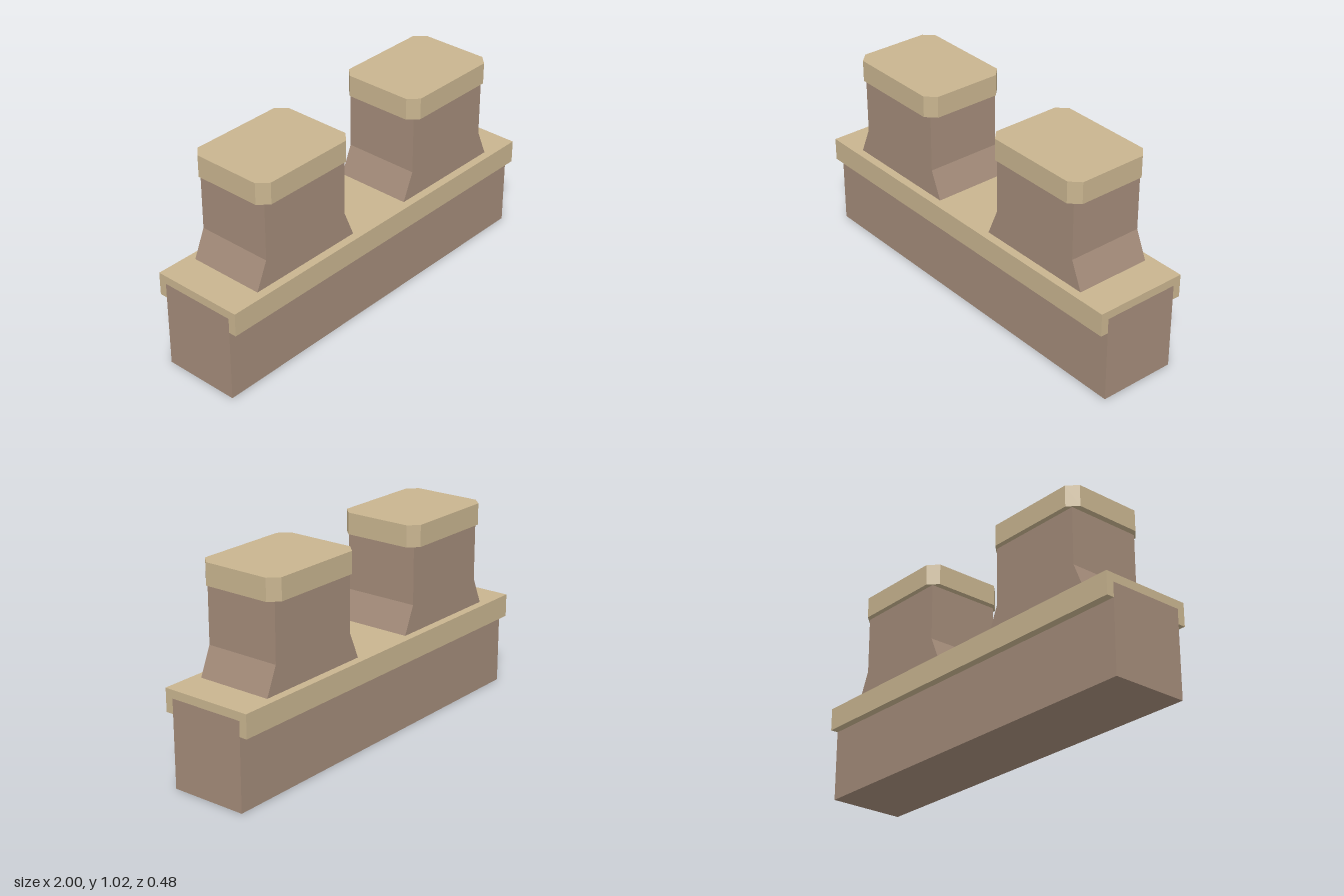
import * as THREE from 'three';

const stone = new THREE.MeshStandardMaterial({ color: 0xa38b79 });
stone.name = 'brown stone';
const trim = new THREE.MeshStandardMaterial({ color: 0xc8b48f });
trim.name = 'tan trim';

// Extrude a polygon outline along z, centred on z = 0
function prism(points, depth) {
  const shape = new THREE.Shape(points.map(([x, y]) => new THREE.Vector2(x, y)));
  const geometry = new THREE.ExtrudeGeometry(shape, { depth, bevelEnabled: false });
  return geometry.translate(0, 0, -depth / 2);
}

function part(name, geometry, material) {
  const mesh = new THREE.Mesh(geometry, material);
  mesh.name = name;
  return mesh;
}

// Square post with flared foot and a cap with clipped corners
function makePost(name, x) {
  const post = new THREE.Group();
  post.name = name;
  post.position.x = x;

  const body = prism([
    [-0.318, 0.48], [0.318, 0.48], [0.257, 0.622], [0.257, 0.915],
    [-0.257, 0.915], [-0.257, 0.622],
  ], 0.394);

  const w = 0.288, d = 0.223, c = 0.048;
  const cap = prism([
    [-w + c, -d], [w - c, -d], [w, -d + c], [w, d - c],
    [w - c, d], [-w + c, d], [-w, d - c], [-w, -d + c],
  ], 0.109).rotateX(-Math.PI / 2).translate(0, 0.9685, 0);

  post.add(part('postBody', body, stone), part('postCap', cap, trim));
  return post;
}

export function createModel() {
  const model = new THREE.Group();
  model.name = 'parapet';

  // Wall block, flush with the ledge at both ends
  const wall = new THREE.BoxGeometry(2, 0.44, 0.398).translate(0, 0.22, 0);

  // Ledge: channel section that sits over the top of the wall
  const ledge = prism([
    [-0.239, 0.365], [-0.199, 0.365], [-0.199, 0.44], [0.199, 0.44],
    [0.199, 0.365], [0.239, 0.365], [0.239, 0.482], [-0.239, 0.482],
  ], 2).rotateY(Math.PI / 2);

  model.add(part('wall', wall, stone), part('ledge', ledge, trim));
  model.add(makePost('leftPost', 0.5), makePost('rightPost', -0.5));
  return model;
}
